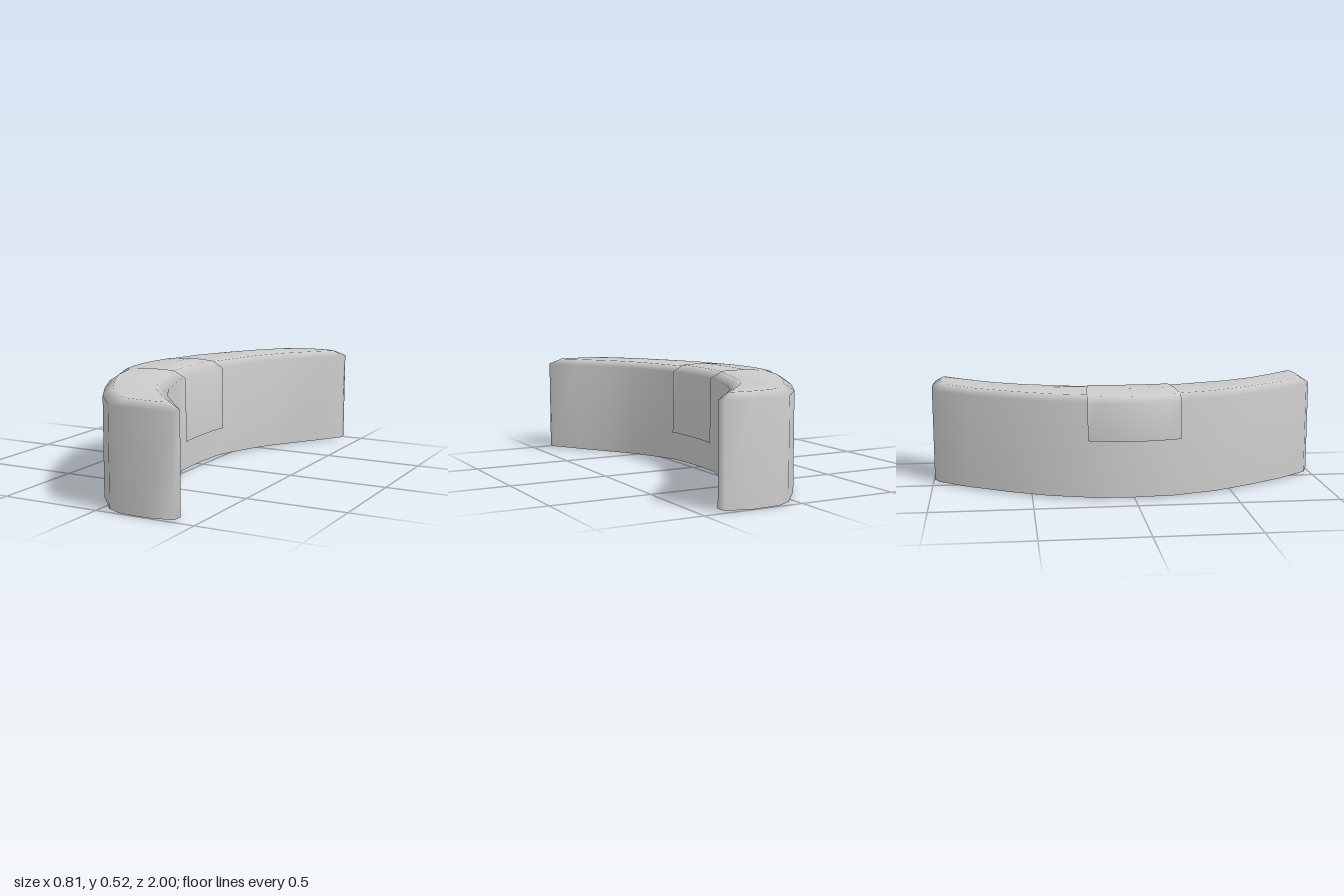
import * as THREE from 'three';

const material = new THREE.MeshStandardMaterial({ color: 0xcccccc, side: THREE.DoubleSide });

// Half of the crescent plan, from the middle of the outer side round the tip
// to the middle of the inner side: wall x, wall z, top edge x, top edge z.
const halfPlan = [
  [-0.375, 0, -0.33, 0],
  [-0.36, 0.2, -0.315, 0.19],
  [-0.295, 0.42, -0.255, 0.4],
  [-0.2, 0.61, -0.165, 0.58],
  [-0.08, 0.81, -0.045, 0.775],
  [0.05, 0.965, 0.085, 0.92],
  [0.12, 0.995, 0.14, 0.945],
  [0.26, 1, 0.25, 0.955],
  [0.395, 0.99, 0.335, 0.95],
  [0.4, 0.94, 0.345, 0.935],
  [0.3, 0.82, 0.265, 0.85],
  [0.17, 0.655, 0.13, 0.685],
  [0.09, 0.5, 0.045, 0.525],
  [0.02, 0.3, -0.025, 0.315],
  [-0.01, 0.2, -0.06, 0.205],
  [-0.02, 0, -0.07, 0],
];

// Cross-section of the cover: x, y, half length in z, bow in x towards its ends.
const coverProfile = [
  [-0.4, 0.295, 0.23, 0.037],
  [-0.405, 0.48, 0.23, 0.037],
  [-0.36, 0.511, 0.23, 0.035],
  [-0.2, 0.523, 0.22, 0.02],
  [-0.07, 0.519, 0.205, 0.015],
  [-0.005, 0.485, 0.2, 0.013],
  [0, 0.16, 0.2, 0.012],
];

function buildGeometry(positions, indices) {
  const geometry = new THREE.BufferGeometry();
  geometry.setAttribute('position', new THREE.Float32BufferAttribute(positions, 3));
  geometry.setIndex(indices);
  geometry.computeVertexNormals();
  return geometry;
}

// Hollow crescent body: wall, bevelled rim and top, open underneath
function createBody() {
  const mirrored = halfPlan.slice(1, -1).reverse().map(([x, z, tx, tz]) => [x, -z, tx, -tz]);
  const plan = [...halfPlan, ...mirrored];
  const n = plan.length;
  const rings = [
    ([x, z]) => [x, 0.01 * Math.min(1, Math.abs(x - 0.2) / 0.2), z],
    ([x, z]) => [x, 0.483, z],
    ([, , tx, tz]) => [tx, 0.513, tz],
  ];
  const positions = rings.flatMap((ring) => plan.flatMap(ring));
  const indices = [];
  for (let r = 0; r < rings.length - 1; r++) {
    for (let i = 0; i < n; i++) {
      const a = r * n + i;
      const b = r * n + ((i + 1) % n);
      indices.push(a, b, b + n, a, b + n, a + n);
    }
  }
  const topEdge = plan.map(([, , tx, tz]) => new THREE.Vector2(tx, -tz));
  for (const face of THREE.ShapeUtils.triangulateShape(topEdge, [])) {
    indices.push(...face.map((i) => i + 2 * n));
  }
  return buildGeometry(positions, indices);
}

// Thin cover draped across the middle of the body
function createCover() {
  const steps = 8;
  const n = coverProfile.length;
  const positions = [];
  const indices = [];
  for (let s = 0; s <= steps; s++) {
    const t = (2 * s) / steps - 1;
    for (const [x, y, halfLength, bow] of coverProfile) {
      positions.push(x + bow * t * t, y, t * halfLength);
    }
  }
  for (let s = 0; s < steps; s++) {
    for (let i = 0; i < n - 1; i++) {
      const a = s * n + i;
      indices.push(a, a + n, a + n + 1, a, a + n + 1, a + 1);
    }
  }
  return buildGeometry(positions, indices);
}

export function createModel() {
  const model = new THREE.Group();
  model.name = 'curvedBench';
  const parts = { body: createBody(), drapedCover: createCover() };
  for (const [name, geometry] of Object.entries(parts)) {
    const mesh = new THREE.Mesh(geometry, material);
    mesh.name = name;
    model.add(mesh);
  }
  return model;
}
